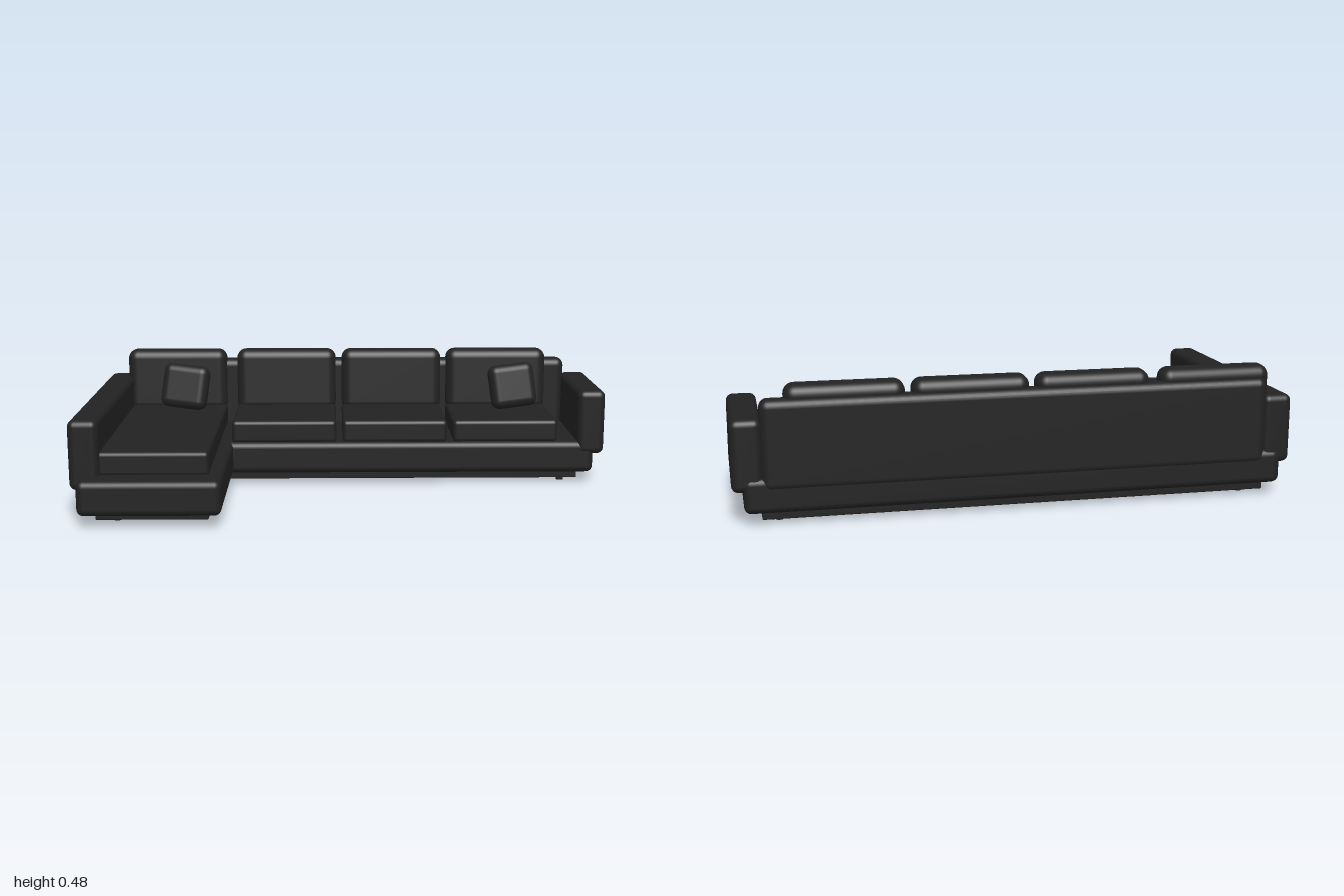
import * as THREE from 'three';
import { RoundedBoxGeometry } from 'three/addons/geometries/RoundedBoxGeometry.js';

export function createModel() {
  const model = new THREE.Group();
  model.name = 'cornerSofa';
  const fabric = new THREE.MeshStandardMaterial({ color: 0x222222 });
  fabric.name = 'charcoal fabric';

  // Soft block given by its limits on each axis
  function block(name, [x0, x1], [y0, y1], [z0, z1], radius, segments = 4) {
    const geometry = new RoundedBoxGeometry(x1 - x0, y1 - y0, z1 - z0, segments, radius);
    const mesh = new THREE.Mesh(geometry, fabric);
    mesh.name = name;
    mesh.position.set((x0 + x1) / 2, (y0 + y1) / 2, (z0 + z1) / 2);
    model.add(mesh);
    return mesh;
  }

  // Plinths under the base
  block('mainPlinth', [-0.51, 0.9], [0.015, 0.06], [-0.5, -0.11], 0.004, 2);
  block('chaisePlinth', [-0.91, -0.51], [0.015, 0.06], [-0.5, 0.47], 0.004, 2);

  // Feet
  for (const [x, z] of [[-0.84, 0.41], [-0.84, -0.445], [0.84, -0.145], [0.84, -0.445]]) {
    const foot = new THREE.Mesh(new THREE.CylinderGeometry(0.014, 0.014, 0.02, 20), fabric);
    foot.name = 'foot';
    foot.position.set(x, 0.01, z);
    model.add(foot);
  }

  // Upholstered base, L-shaped
  block('mainBase', [-0.96, 0.96], [0.045, 0.17], [-0.54, -0.068], 0.025);
  block('chaiseBase', [-0.965, -0.46], [0.045, 0.172], [-0.538, 0.545], 0.025);

  // Arms and backrest
  block('rightArm', [-1, -0.893], [0.12, 0.372], [-0.535, 0.47], 0.025);
  block('leftArm', [0.893, 1], [0.12, 0.372], [-0.535, -0.065], 0.025);
  block('backrest', [-0.9, 0.9], [0.12, 0.437], [-0.545, -0.465], 0.03);

  // Seat and back cushions
  const bays = [[-0.915, -0.508], [-0.465, -0.055], [-0.03, 0.382], [0.405, 0.817]];
  bays.forEach((bay, i) => {
    const chaise = i === 0;
    block(chaise ? 'chaiseSeatCushion' : 'seatCushion', chaise ? [-0.905, -0.508] : bay,
      [0.165, 0.253], [-0.47, chaise ? 0.442 : -0.083], 0.016);
    const back = block('backCushion', bay, [0.225, 0.481], [-0.523, -0.422], 0.038, 5);
    back.rotation.x = -0.05;
  });

  // Scatter pillows, mirrored
  for (const side of [-1, 1]) {
    const pillow = block('scatterPillow', [-0.095, 0.095], [-0.09, 0.09], [-0.038, 0.038], 0.034, 5);
    pillow.position.set(side * 0.67, 0.343, -0.357);
    pillow.rotation.set(-0.22, side * 0.18, side * 0.13);
  }
  return model;
}
